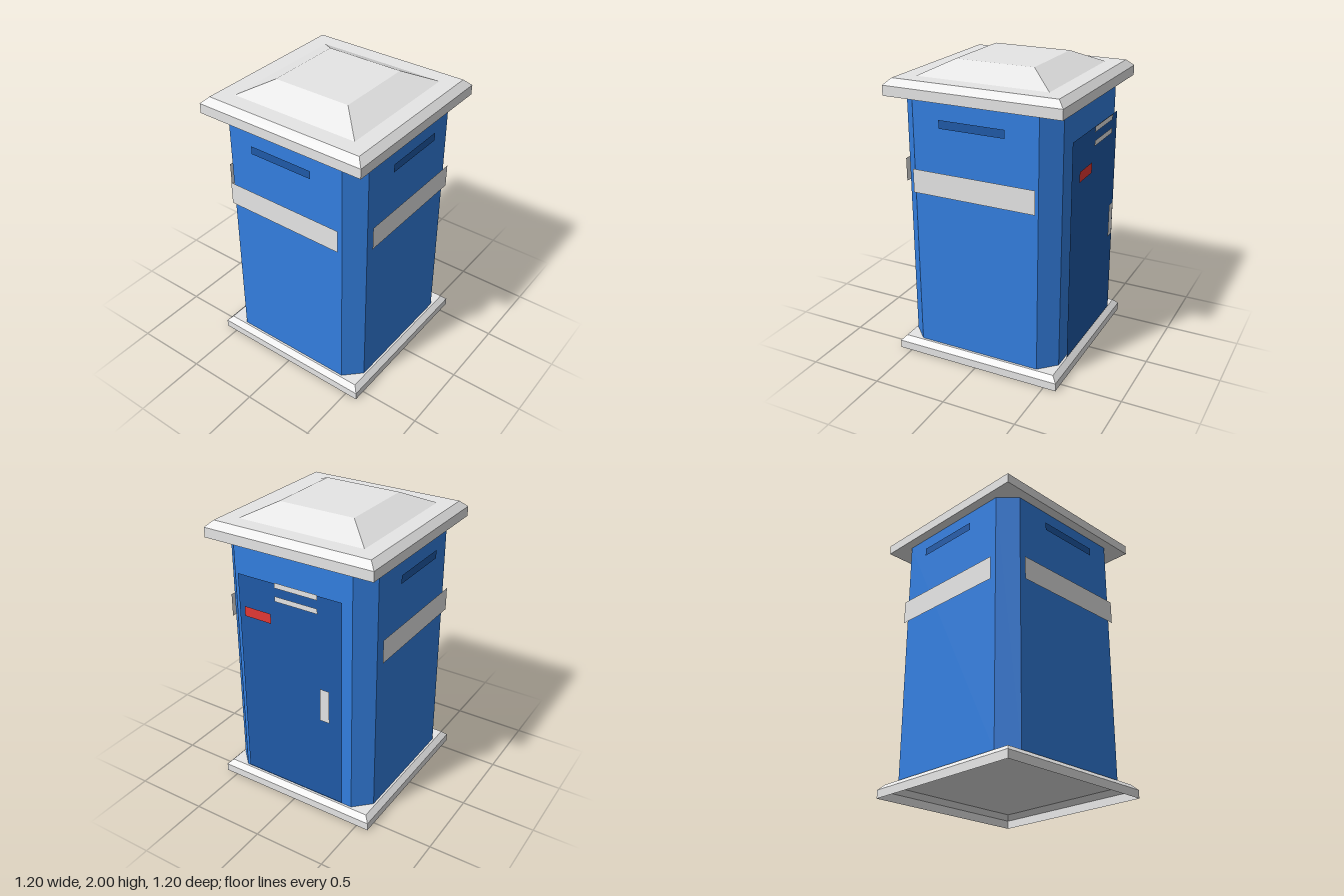
import * as THREE from 'three';

function paint(name, color, side = THREE.FrontSide) {
  const material = new THREE.MeshStandardMaterial({ color, side });
  material.name = name;
  return material;
}

// Square tapered block with crisp faces; open leaves out top and bottom
function taperedBlock(bottomHalf, topHalf, y0, y1, open = false) {
  const geo = new THREE.CylinderGeometry(topHalf * Math.SQRT2, bottomHalf * Math.SQRT2, y1 - y0, 4, 1, open)
    .rotateY(Math.PI / 4)
    .translate(0, (y0 + y1) / 2, 0)
    .toNonIndexed();
  geo.computeVertexNormals();
  return geo;
}

export function createModel() {
  const blue = paint('blue', 0x337fe0);
  const darkBlue = paint('dark blue', 0x1f5aa8, THREE.DoubleSide);
  const grey = paint('light grey', 0xe6e6e6, THREE.DoubleSide);
  const red = paint('red', 0xe53935, THREE.DoubleSide);

  const model = new THREE.Group();
  model.name = 'booth';

  function add(parent, name, geometry, material) {
    const mesh = new THREE.Mesh(geometry, material);
    mesh.name = name;
    parent.add(mesh);
  }

  // Base plinth: a hollow tray turned over, open underneath
  add(model, 'baseRim', taperedBlock(0.585, 0.585, 0, 0.055, true), grey);
  add(model, 'baseBevel', taperedBlock(0.585, 0.552, 0.055, 0.09, true), grey);
  const floor = new THREE.PlaneGeometry(1.104, 1.104).rotateX(-Math.PI / 2).translate(0, 0.09, 0);
  add(model, 'baseTop', floor, grey);

  // Roof: slab, bevelled edge and raised cap
  add(model, 'roofSlab', taperedBlock(0.602, 0.602, 1.802, 1.868), grey);
  add(model, 'roofBevel', taperedBlock(0.602, 0.558, 1.868, 1.91, true), grey);
  add(model, 'roofTop', new THREE.PlaneGeometry(1.116, 1.116).rotateX(-Math.PI / 2).translate(0, 1.91, 0), grey);
  add(model, 'roofCap', taperedBlock(0.45, 0.27, 1.91, 2, true), grey);
  add(model, 'roofCapTop', new THREE.PlaneGeometry(0.54, 0.54).rotateX(-Math.PI / 2).translate(0, 2, 0), grey);

  // Body with cut corners
  const h = 0.539, c = 0.43;
  const outline = new THREE.Shape([
    [c, -h], [h, -c], [h, c], [c, h], [-c, h], [-h, c], [-h, -c], [-c, -h],
  ].map(([x, y]) => new THREE.Vector2(x, y)));
  const body = new THREE.ExtrudeGeometry(outline, { depth: 1.711, bevelEnabled: false })
    .rotateX(-Math.PI / 2)
    .translate(0, 0.092, 0);
  add(model, 'body', body, blue);

  // Each side is laid out facing +z, then turned into place
  function side(name, angle) {
    const group = new THREE.Group();
    group.name = name;
    group.rotation.y = angle;
    model.add(group);
    return group;
  }

  // Flat sheet from x0..x1, y0..y1, held `gap` in front of the body
  function sheet(parent, name, x0, x1, y0, y1, gap, material) {
    const geo = new THREE.PlaneGeometry(x1 - x0, y1 - y0)
      .translate((x0 + x1) / 2, (y0 + y1) / 2, h + gap);
    add(parent, name, geo, material);
  }
  const inner = 0.035, outer = 0.061;

  // Front, back and right-hand panels carry a slot and a band
  const panels = { frontPanel: 0, backPanel: Math.PI, rightPanel: -Math.PI / 2 };
  for (const [name, angle] of Object.entries(panels)) {
    const panel = side(name, angle);
    sheet(panel, 'slot', -0.225, 0.225, 1.635, 1.69, inner, darkBlue);
    sheet(panel, 'band', -0.423, 0.423, 1.187, 1.345, inner, grey);
  }

  // Door side with vents, sign and handle
  const doorSide = side('doorSide', Math.PI / 2);
  sheet(doorSide, 'door', -0.38, 0.38, 0.13, 1.605, inner, darkBlue);
  sheet(doorSide, 'upperVent', -0.085, 0.225, 1.59, 1.625, outer, grey);
  sheet(doorSide, 'lowerVent', -0.085, 0.225, 1.5, 1.535, outer, grey);
  sheet(doorSide, 'sign', -0.32, -0.12, 1.337, 1.405, outer, red);
  sheet(doorSide, 'handle', 0.235, 0.303, 0.752, 0.985, outer, grey);

  return model;
}
